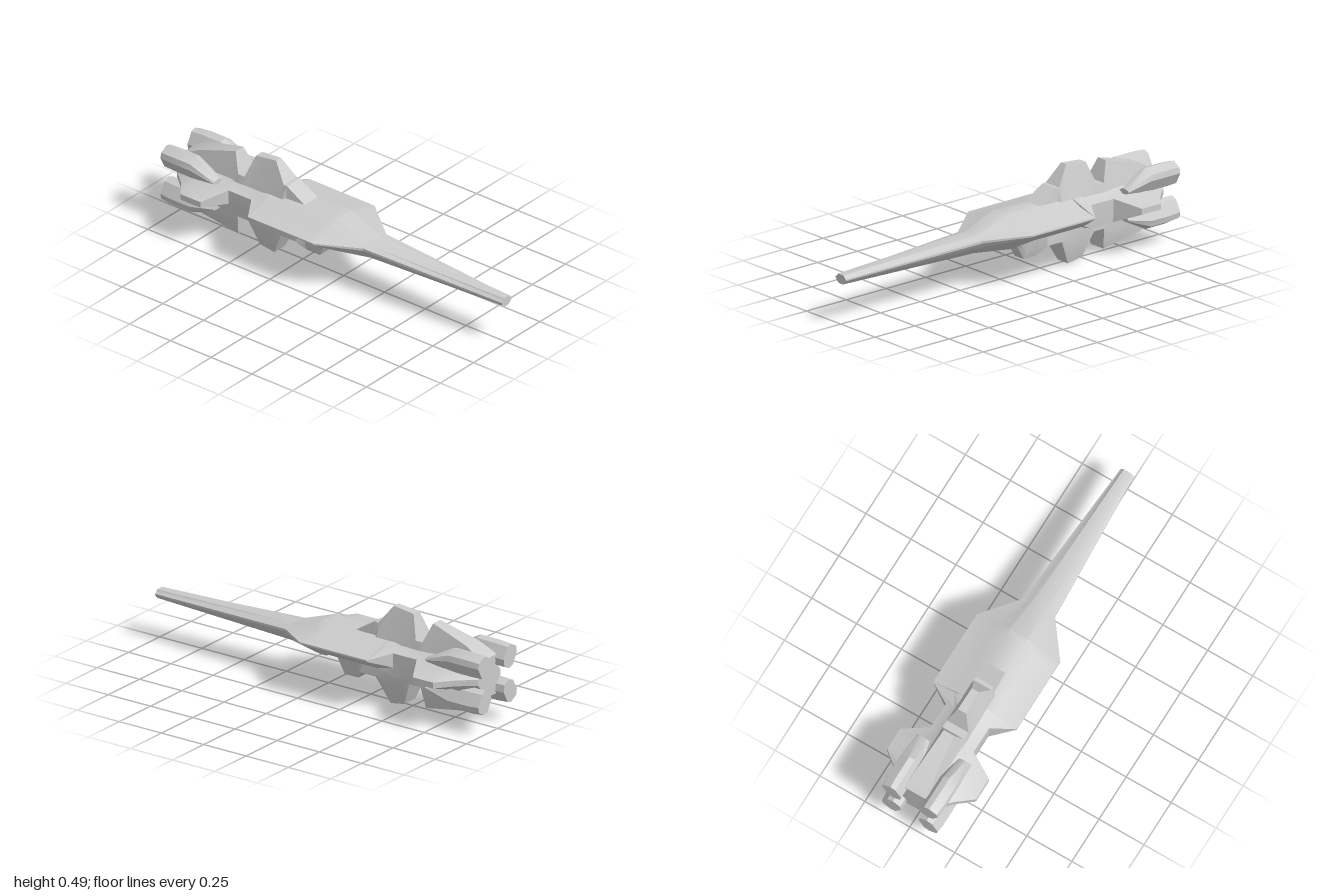
import * as THREE from 'three';
import { toCreasedNormals } from 'three/addons/utils/BufferGeometryUtils.js';

const grey = new THREE.MeshStandardMaterial({ color: 0xcccccc });

// Skins rings of [x, y] points, clockwise seen from +z, ordered from front to back.
function loft(name, sections) {
  const n = sections[0].ring.length, pos = [], index = [];
  for (const { z, ring } of sections) for (const [x, y] of ring) pos.push(x, y, z);
  for (let s = 0; s < sections.length - 1; s++) {
    for (let i = 0; i < n; i++) {
      const p = s * n + i, p2 = s * n + (i + 1) % n;
      index.push(p, p2, p + n, p2, p2 + n, p + n);
    }
  }
  const last = (sections.length - 1) * n;
  for (let i = 1; i < n - 1; i++) {
    index.push(0, i + 1, i, last, last + i, last + i + 1);
  }
  const geo = new THREE.BufferGeometry();
  geo.setAttribute('position', new THREE.Float32BufferAttribute(pos, 3));
  geo.setIndex(index);
  const mesh = new THREE.Mesh(toCreasedNormals(geo, 0.45), grey);
  mesh.name = name;
  return mesh;
}

// Completes a right half (top to bottom) with its mirror image.
const mirrored = half => [...half, ...half.map(([x, y]) => [-x, y]).reverse()];

const mix = THREE.MathUtils.lerp;

// Reads a value from a sorted list of [position, value] pairs.
function lookUp(table, v) {
  const i = Math.max(1, table.findIndex(([p]) => v <= p));
  const [a, wa] = table[i - 1], [b, wb] = table[i];
  return mix(wa, wb, (v - a) / (b - a));
}

// Hull section: flat spine, hollow shoulder, thin side edge, chine and flat keel.
function hullSection(z, spine, top, width, edgeTop, edgeLow, chine, chineY, keel) {
  const half = [
    [spine, top], [mix(spine, width, 0.35), mix(top, edgeTop, 0.52)],
    [width, edgeTop], [width, edgeLow], [chine, chineY], [chine * 0.48, keel],
  ];
  return { z, ring: mirrored(half) };
}

// Long tapering neck that spreads into the main wings
function foreHull() {
  const wing = (z, chine, keel) => hullSection(z, 0.05, 0.336, 0.232, 0.28, 0.272, chine, 0.213, keel);
  return loft('neckAndWings', [
    hullSection(1, 0.02, 0.25, 0.037, 0.232, 0.226, 0.03, 0.215, 0.203),
    hullSection(0.19, 0.04, 0.272, 0.088, 0.257, 0.245, 0.065, 0.212, 0.182),
    wing(0, 0.14, 0.168), wing(-0.04, 0.145, 0.17), wing(-0.08, 0.145, 0.21), wing(-0.4, 0.145, 0.207),
  ]);
}

// Narrow waist, tail wings and stern
function aftHull() {
  const waist = z => hullSection(z, 0.05, 0.336, 0.12, 0.298, 0.225, 0.117, 0.18, 0.168);
  const tail = (z, width) => hullSection(z, 0.05, 0.336, width, 0.265, 0.235, 0.12, 0.19, 0.168);
  return loft('waistAndTailWings', [
    hullSection(-0.4, 0.05, 0.336, 0.232, 0.28, 0.272, 0.145, 0.213, 0.207),
    waist(-0.47), waist(-0.61), tail(-0.68, 0.247), tail(-0.8, 0.247), tail(-0.87, 0.16),
    hullSection(-0.95, 0.035, 0.33, 0.09, 0.265, 0.235, 0.06, 0.2, 0.17),
  ]);
}

// Stepped dorsal fin, thinner towards its crest
function dorsalFin() {
  const width = [[0.33, 0.068], [0.365, 0.06], [0.4, 0.049], [0.495, 0.018]];
  const crest = [[-0.2, 0.335], [-0.31, 0.4], [-0.33, 0.4], [-0.4, 0.493], [-0.52, 0.48],
    [-0.56, 0.365], [-0.6, 0.365], [-0.64, 0.462], [-0.85, 0.402], [-0.95, 0.35]];
  return loft('dorsalFin', crest.map(([z, y]) => {
    const front = z > -0.32;
    const top = front ? 0.049 : lookUp(width, y);
    return { z, ring: mirrored([[top, y], [front ? 0.055 : 0.07, 0.31]]) };
  }));
}

// Stepped ventral fin, bulging at mid height
function ventralFin() {
  const width = [[0, 0.037], [0.1, 0.068], [0.15, 0.07], [0.21, 0.062]];
  const crest = [[-0.06, 0.19], [-0.12, 0.083], [-0.2, 0.083], [-0.24, 0.13], [-0.33, 0.13],
    [-0.395, 0], [-0.48, 0.016], [-0.53, 0.138], [-0.595, 0.138], [-0.61, 0.028],
    [-0.83, 0.07], [-0.95, 0.15]];
  return loft('ventralFin', crest.map(([z, y]) => {
    const front = z > -0.21, mid = Math.max(y + 0.005, 0.12);
    const halfWidth = h => lookUp(width, h);
    const half = [[0.062, 0.225], [front ? 0.045 : halfWidth(mid), mid], [front ? 0.033 : halfWidth(y), y]];
    return { z, ring: mirrored(half) };
  }));
}

// Eight-sided engine pod, flattened at its front
function engine(name, sx, sy) {
  const outline = [[0.08, 0.395], [0.11, 0.404], [0.154, 0.38], [0.16, 0.35],
    [0.128, 0.29], [0.095, 0.277], [0.054, 0.298], [0.048, 0.335]];
  // Each station: z, scale in x and y, centre in x and y
  const stations = [[-0.68, 0.62, 0.22, 0.115, 0.318], [-0.82, 1, 1, 0.104, 0.34],
    [-0.94, 1, 1, 0.104, 0.34], [-1, 0.94, 0.95, 0.102, 0.338]];
  return loft(name, stations.map(([z, kx, ky, cx, cy]) => {
    const ring = outline.map(([x, y]) => {
      const px = cx + (x - 0.104) * kx, py = cy + (y - 0.34) * ky;
      return [sx * px, sy > 0 ? py : 0.5 - py];
    });
    return { z, ring: sx * sy > 0 ? ring : ring.reverse() };
  }));
}

export function createModel() {
  const model = new THREE.Group();
  model.name = 'spaceship';
  model.add(foreHull(), aftHull(), dorsalFin(), ventralFin());
  for (const [side, sx] of [['Left', 1], ['Right', -1]]) {
    for (const [level, sy] of [['upper', 1], ['lower', -1]]) {
      model.add(engine(`${level}${side}Engine`, sx, sy));
    }
  }
  return model;
}
